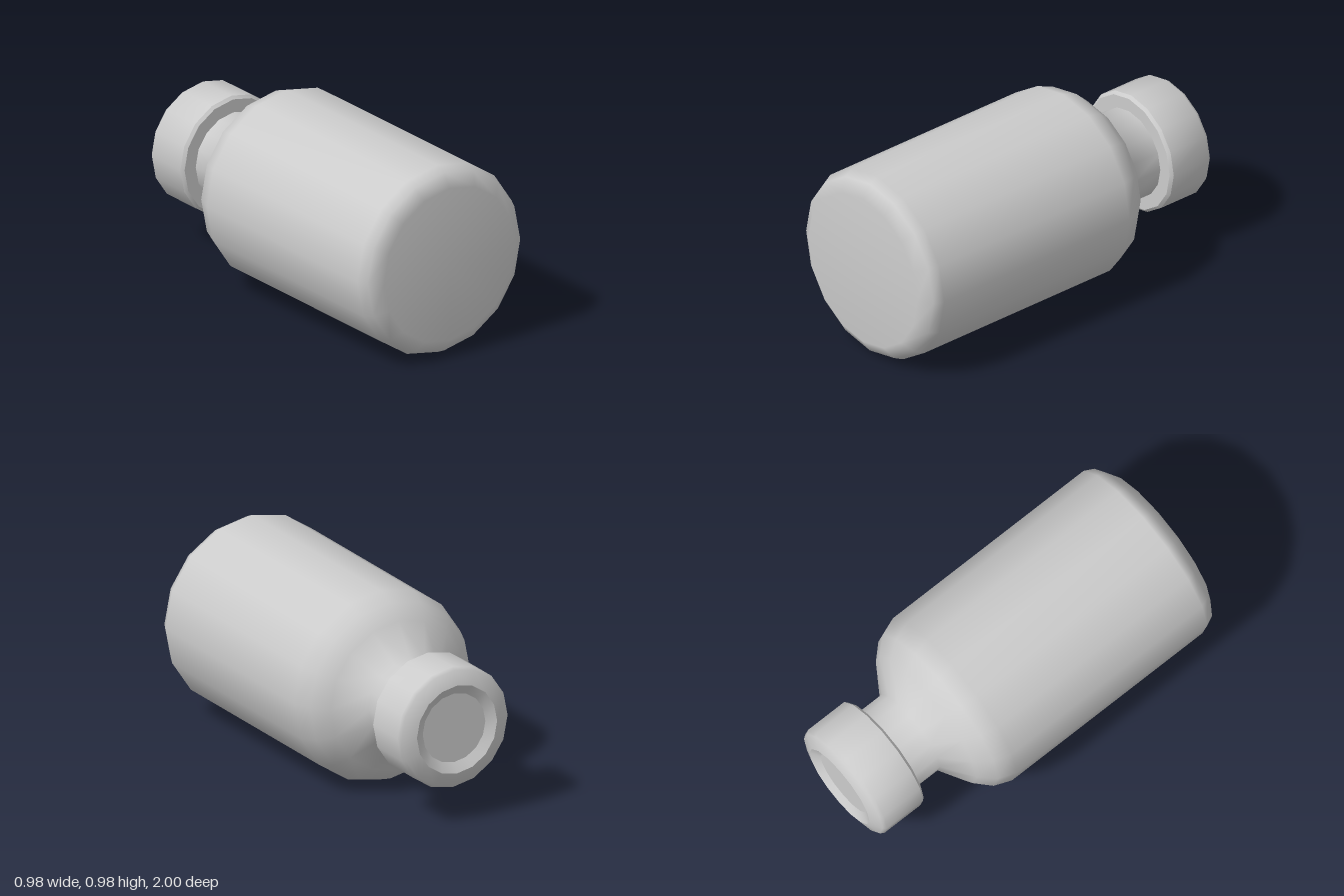
import * as THREE from 'three';
import { toCreasedNormals } from 'three/addons/utils/BufferGeometryUtils.js';

const SIDES = 16;
const CENTER_Y = 0.493;

export function createModel() {
  const group = new THREE.Group();
  group.name = 'vial';
  const material = new THREE.MeshStandardMaterial({ color: 0xcccccc });

  // Turned part lying along z: profile points are [radius, distance towards -z]
  function turned(name, profile, crease) {
    let geometry = new THREE.LatheGeometry(profile.map(([r, h]) => new THREE.Vector2(r, h)), SIDES);
    if (crease) geometry = toCreasedNormals(geometry, crease);
    geometry.rotateX(-Math.PI / 2);
    geometry.translate(0, CENTER_Y, 0);
    const mesh = new THREE.Mesh(geometry, material);
    mesh.name = name;
    group.add(mesh);
  }

  // Body with rounded base, sloping shoulder and neck
  turned('bottle', [
    [0, -1], [0.40, -1], [0.467, -0.955], [0.491, -0.905],
    [0.491, -0.29], [0.457, 0.38], [0.385, 0.455], [0.23, 0.558], [0.23, 0.74],
  ].map(([r, h], i) => [r, i === 4 ? 0.29 : h]));

  // Crimped cap with a shallow conical recess
  turned('cap', [
    [0.2, 0.718], [0.298, 0.718], [0.313, 0.732], [0.313, 0.958],
    [0.3, 0.976], [0.228, 1], [0.178, 0.972],
  ], 0.75);

  // Flat stopper at the bottom of the recess
  turned('stopper', [[0.178, 0.972], [0, 0.972]]);

  return group;
}
